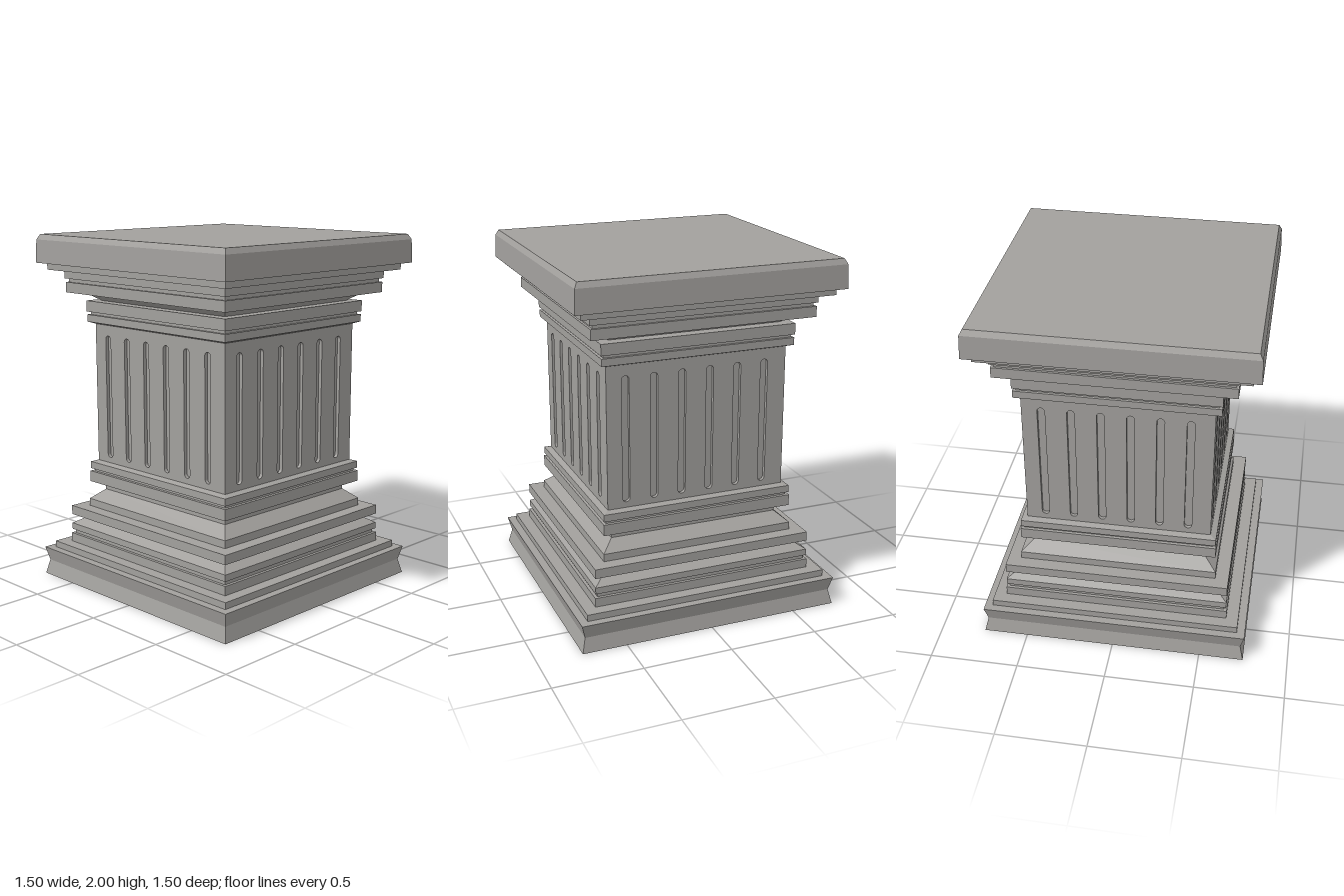
import * as THREE from 'three';

const SHAFT = 0.517;   // half width of the shaft
const PANEL = 0.02;    // panel thickness, also the flute depth
const Y0 = 0.69, Y1 = 1.5;

const material = new THREE.MeshStandardMaterial({ color: 0xa2a09d, flatShading: true });

// Square moulding: a profile of [half width, y], from bottom to top, swept round four sides
function moulding(name, profile) {
  const points = [[0, profile[0][1]], ...profile, [0, profile[profile.length - 1][1]]]
    .map(([w, y]) => new THREE.Vector2(w * Math.SQRT2, y));
  const mesh = new THREE.Mesh(new THREE.LatheGeometry(points, 4, Math.PI / 4), material);
  mesh.name = name;
  return mesh;
}

// Upright slot with round ends
function flute(x, r, bottom, top) {
  const path = new THREE.Path();
  path.absarc(x, top - r, r, 0, Math.PI, false);
  path.absarc(x, bottom + r, r, Math.PI, Math.PI * 2, false);
  path.closePath();
  return path;
}

// One fluted face; each panel butts against the edge of the next one
function panelGeometry() {
  const left = -SHAFT, right = SHAFT - PANEL;
  const shape = new THREE.Shape([
    new THREE.Vector2(left, Y0), new THREE.Vector2(right, Y0),
    new THREE.Vector2(right, Y1), new THREE.Vector2(left, Y1),
  ]);
  for (let i = 0; i < 6; i++) {
    shape.holes.push(flute((left + right) / 2 + (i - 2.5) * 0.16, 0.021, 0.727, 1.434));
  }
  const geometry = new THREE.ExtrudeGeometry(shape, { depth: PANEL, bevelEnabled: false, curveSegments: 8 });
  return geometry.translate(0, 0, SHAFT - PANEL);
}

export function createModel() {
  const model = new THREE.Group();
  model.name = 'pedestal';

  // Stepped base, from the waisted plinth to the foot of the shaft
  model.add(moulding('plinth', [[0.75, 0], [0.73, 0.083], [0.75, 0.162]]));
  model.add(moulding('baseMouldings', [
    [0.705, 0.162], [0.705, 0.199], [0.637, 0.199], [0.637, 0.25], [0.62, 0.25], [0.62, 0.273],
    [0.633, 0.273], [0.633, 0.31], [0.575, 0.345], [0.633, 0.364], [0.633, 0.417],
    [0.558, 0.417], [0.558, 0.46], [0.49, 0.518], [0.49, 0.565],
  ]));
  model.add(moulding('lowerCollar', [
    [0.553, 0.565], [0.553, 0.628], [0.535, 0.628], [0.535, 0.644],
    [0.55, 0.644], [0.55, 0.684], [SHAFT, 0.695],
  ]));

  // Shaft: a plain core behind four fluted panels
  const shaft = new THREE.Group();
  shaft.name = 'shaft';
  const inner = 2 * (SHAFT - PANEL);
  const core = new THREE.Mesh(new THREE.BoxGeometry(inner, Y1 - Y0, inner), material);
  core.name = 'core';
  core.position.y = (Y0 + Y1) / 2;
  shaft.add(core);
  const geometry = panelGeometry();
  ['front', 'left', 'back', 'right'].forEach((side, i) => {
    const panel = new THREE.Mesh(geometry, material);
    panel.name = side + 'FlutedPanel';
    panel.rotation.y = i * Math.PI / 2;
    shaft.add(panel);
  });
  model.add(shaft);

  // Capital and top slab
  model.add(moulding('upperCollar', [
    [SHAFT, 1.494], [0.55, 1.506], [0.55, 1.547], [0.535, 1.547], [0.535, 1.564],
    [0.553, 1.564], [0.553, 1.626],
  ]));
  model.add(moulding('capitalMouldings', [
    [0.49, 1.626], [0.56, 1.673], [0.633, 1.673], [0.633, 1.731], [0.62, 1.731], [0.62, 1.752],
    [0.638, 1.752], [0.638, 1.801], [0.705, 1.801], [0.705, 1.84],
  ]));
  model.add(moulding('topSlab', [[0.75, 1.84], [0.745, 1.97], [0.729, 2]]));

  return model;
}
